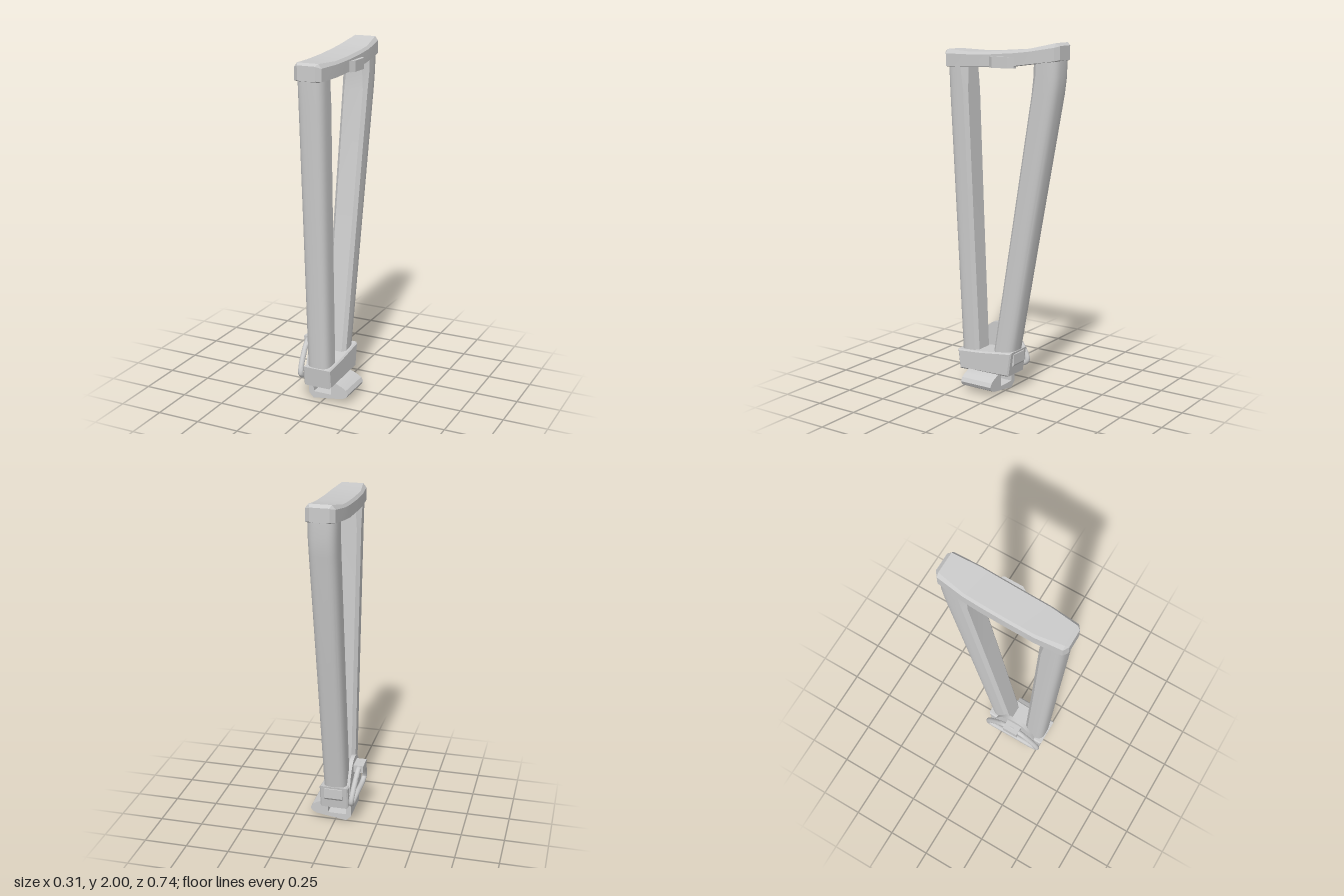
import * as THREE from 'three';
import { toCreasedNormals } from 'three/addons/utils/BufferGeometryUtils.js';

const material = new THREE.MeshStandardMaterial({ color: 0xcccccc });
const V = (x, y, z) => new THREE.Vector3(x, y, z);
const CX = -0.01; // centre line of the posts and cap

function add(group, name, geometry, crease = 0.5) {
  const mesh = new THREE.Mesh(toCreasedNormals(geometry, crease), material);
  mesh.name = name;
  group.add(mesh);
  return mesh;
}

// Skin closed cross-sections and close both ends; faces are turned outward by signed volume.
function loft(sections) {
  const tris = [];
  const n = sections[0].length;
  for (let i = 0; i < sections.length - 1; i++) {
    const a = sections[i], b = sections[i + 1];
    for (let j = 0; j < n; j++) {
      const k = (j + 1) % n;
      tris.push([a[j], a[k], b[k]], [a[j], b[k], b[j]]);
    }
  }
  for (const [s, flip] of [[sections[0], true], [sections.at(-1), false]]) {
    const c = s.reduce((sum, p) => sum.add(p), V(0, 0, 0)).divideScalar(n);
    for (let j = 0; j < n; j++) {
      const t = [c, s[j], s[(j + 1) % n]];
      tris.push(flip ? t.reverse() : t);
    }
  }
  const volume = tris.reduce((v, [a, b, c]) => v + a.dot(b.clone().cross(c)), 0);
  const points = tris.flatMap((t) => (volume < 0 ? [t[0], t[2], t[1]] : t));
  return new THREE.BufferGeometry().setFromPoints(points);
}

const shapeOf = (pts) => new THREE.Shape(pts.map(([a, b]) => new THREE.Vector2(a, b)));

// Extrude a (z, y) side profile across x0..x1.
function sideExtrude(shape, x0, x1, bevel = 0) {
  const g = new THREE.ExtrudeGeometry(shape, {
    depth: x1 - x0 - 2 * bevel, bevelEnabled: bevel > 0, bevelSize: bevel,
    bevelThickness: bevel, bevelOffset: -bevel, bevelSegments: 1, curveSegments: 16,
  });
  return g.rotateY(-Math.PI / 2).translate(x1 - bevel, 0, 0);
}

// Post row: [y, outer z, inner z, half width, inner chamfer]; rounded outside, chamfered inside.
function postSection([y, zo, zi, w, ch]) {
  const d = zo - zi, s = Math.sign(d);
  const pts = [V(CX + w - ch, y, zi), V(CX + w, y, zi + s * ch)];
  const zm = zi + d * 0.45;
  for (let i = 0; i <= 16; i++) {
    const a = (i / 16) * Math.PI;
    const c = Math.cos(a);
    pts.push(V(CX + w * Math.sign(c) * Math.abs(c) ** 0.6, y, zm + (zo - zm) * Math.abs(Math.sin(a)) ** 0.7));
  }
  pts.push(V(CX - w, y, zi + s * ch), V(CX - w + ch, y, zi));
  return pts;
}

export function createModel() {
  const model = new THREE.Group();
  model.name = 'stockFrame';

  // Two uprights that spread toward the top
  add(model, 'frontPost', loft([
    [0.14, 0.272, 0.15, 0.067, 0.02],
    [1.0, 0.314, 0.187, 0.072, 0.02],
    [1.72, 0.35, 0.216, 0.077, 0.02],
    [1.89, 0.355, 0.222, 0.08, 0.035],
  ].map(postSection)));
  add(model, 'rearPost', loft([
    [0.14, -0.06, 0.068, 0.067, 0.02],
    [1.0, -0.217, -0.078, 0.072, 0.02],
    [1.72, -0.35, -0.2, 0.077, 0.02],
    [1.82, -0.363, -0.207, 0.079, 0.03],
    [1.92, -0.364, -0.207, 0.08, 0.035],
  ].map(postSection)));

  // Bevelled top pad, stations along z: [z, bottom y, top y, half width, bevel, underside recess]
  const pad = [
    [0.372, 1.855, 1.935, 0.052, 0.001, 0],
    [0.352, 1.85, 1.947, 0.079, 0.018, 0],
    [0.2, 1.853, 1.94, 0.093, 0.012, 0.035],
    [0.05, 1.86, 1.945, 0.094, 0.012, 0.035],
    [-0.1, 1.868, 1.956, 0.094, 0.012, 0.035],
    [-0.2, 1.882, 1.967, 0.093, 0.012, 0.035],
    [-0.352, 1.902, 2.0, 0.079, 0.018, 0],
    [-0.372, 1.908, 1.985, 0.052, 0.001, 0],
  ].map(([z, y0, y1, w, b, r]) => {
    const half = [[w - 0.02, y0 + r], [w - 0.014, y0], [w, y0 + 0.004], [w, y1 - b * 1.3], [w - b, y1]];
    const right = half.map(([x, y]) => V(CX + x, y, z));
    const left = half.map(([x, y]) => V(CX - x, y, z)).reverse();
    return [...right, ...left];
  });
  add(model, 'topPad', loft(pad), 0.25);

  // Small release boss on the side of the pad
  const boss = shapeOf([[0.06, -0.06], [0.085, -0.05], [0.105, -0.02], [0.105, 0.085], [0.085, 0.11], [0.06, 0.11]]);
  add(model, 'sideBoss', new THREE.ExtrudeGeometry(boss, { depth: 0.06, bevelEnabled: false })
    .rotateX(-Math.PI / 2).translate(0, 1.86, 0));

  // Collar gripping the feet of both posts
  add(model, 'collar', sideExtrude(shapeOf([
    [0.27, 0.105], [0.284, 0.22], [0.13, 0.232], [-0.087, 0.258], [-0.066, 0.115],
  ]), -0.092, 0.075, 0.008), 0.3);
  add(model, 'rearLip', sideExtrude(shapeOf([
    [-0.06, 0.17], [-0.06, 0.25], [-0.09, 0.245], [-0.09, 0.185], [-0.08, 0.172],
  ]), -0.06, 0.045));

  // Hooked clip below the collar, open through the middle
  const clip = shapeOf([
    [-0.094, 0.115], [-0.094, 0.03], [-0.065, 0], [0.115, 0.026], [0.142, 0.04],
    [0.152, 0.06], [0.14, 0.083], [0.115, 0.098], [0.075, 0.115],
  ]);
  clip.holes.push(new THREE.Path([[-0.064, 0.04], [-0.064, 0.106], [0.046, 0.106], [0.046, 0.04]]
    .map(([x, y]) => new THREE.Vector2(x, y))));
  add(model, 'bottomClip', new THREE.ExtrudeGeometry(clip, { depth: 0.205, bevelEnabled: false }));

  // Round-topped side plate that carries the sling loop
  const plate = new THREE.Shape();
  plate.moveTo(-0.05, 0.2);
  plate.lineTo(0.24, 0.2);
  plate.lineTo(0.215, 0.27);
  plate.quadraticCurveTo(0.17, 0.38, 0.095, 0.38);
  plate.quadraticCurveTo(0.02, 0.38, -0.025, 0.27);
  plate.closePath();
  add(model, 'slingPlate', sideExtrude(plate, -0.095, -0.072));

  // Sling loop: rounded triangle leaning outward, held by a small block
  const path = new THREE.CatmullRomCurve3([
    [0.145, 0.325], [0.05, 0.325], [0.015, 0.305], [-0.07, 0.2], [-0.077, 0.165], [-0.045, 0.145],
    [0.095, 0.145], [0.235, 0.145], [0.268, 0.165], [0.26, 0.2], [0.18, 0.305],
  ].map(([z, y]) => V(-0.11 - (y - 0.145) * 0.09, y, z)), true, 'centripetal');
  add(model, 'slingLoop', new THREE.TubeGeometry(path, 72, 0.016, 10, true), 0.8);
  add(model, 'loopHolder', new THREE.BoxGeometry(0.07, 0.045, 0.095).translate(-0.119, 0.322, 0.097));

  return model;
}
